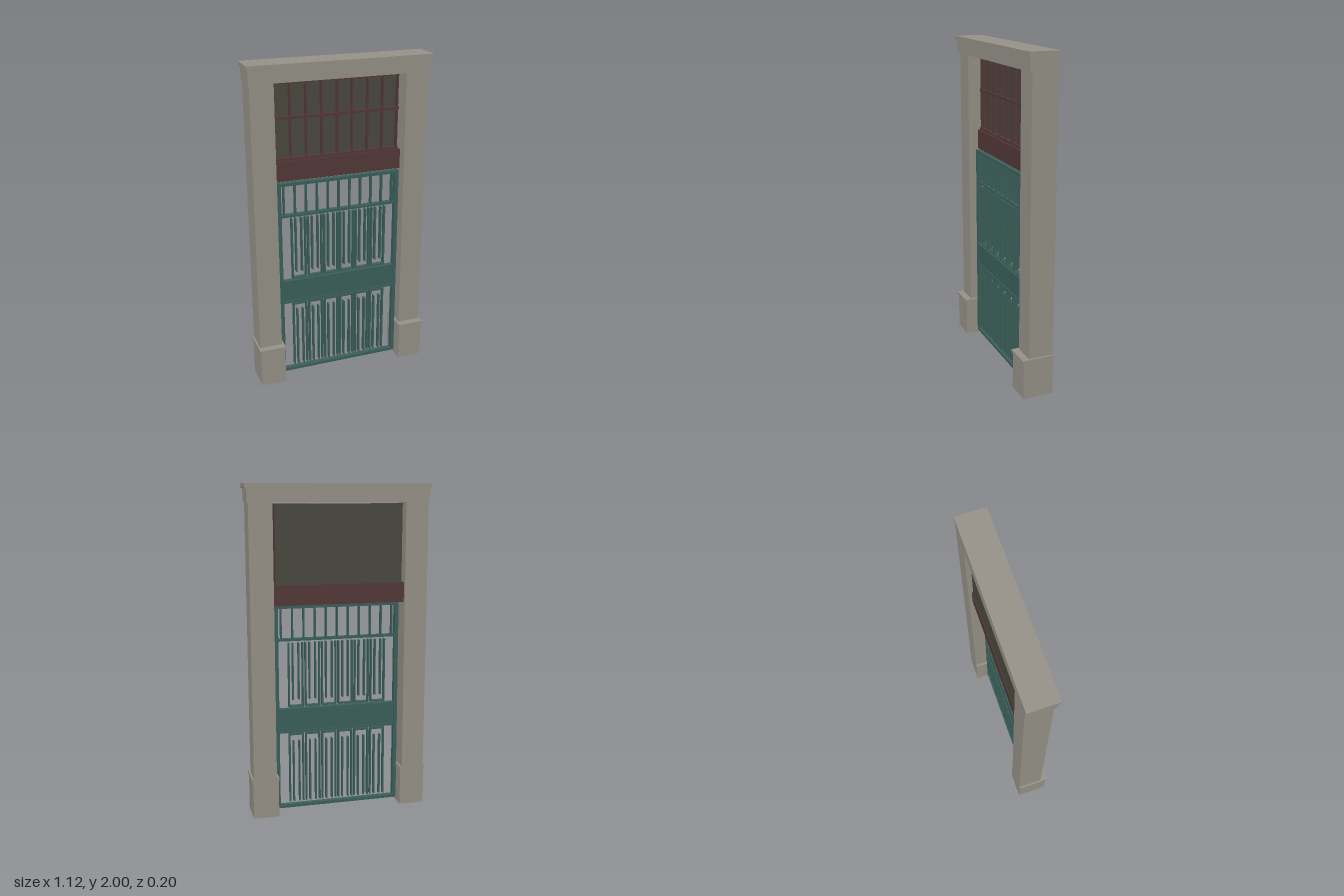
import * as THREE from 'three';

const mat = (name, color) => {
  const m = new THREE.MeshStandardMaterial({ color });
  m.name = name;
  return m;
};

export function createModel() {
  const stone = mat('stone', 0x99958b);
  const maroon = mat('maroon paint', 0x553939);
  const teal = mat('teal paint', 0x3c625c);
  const pane = mat('dark pane', 0x4b4b41);

  const model = new THREE.Group();
  model.name = 'gateway';
  const section = (name) => {
    const g = new THREE.Group();
    g.name = name;
    model.add(g);
    return g;
  };
  // Box given by its extents on each axis
  const box = (parent, name, material, [x0, x1], [y0, y1], [z0, z1]) => {
    const mesh = new THREE.Mesh(new THREE.BoxGeometry(x1 - x0, y1 - y0, z1 - z0), material);
    mesh.position.set((x0 + x1) / 2, (y0 + y1) / 2, (z0 + z1) / 2);
    mesh.name = name;
    parent.add(mesh);
  };
  const around = (c, half) => [c - half, c + half];

  // Stone surround
  const surround = section('surround');
  const back = -0.098;
  for (const s of [-1, 1]) {
    const span = (a, b) => (s > 0 ? [a, b] : [-b, -a]);
    box(surround, 'pillar', stone, span(0.4, 0.54), [0.24, 1.9], [back, 0.055]);
    box(surround, 'plinth', stone, span(0.389, 0.545), [0, 0.23], [back, 0.09]);
    box(surround, 'plinthCap', stone, span(0.386, 0.551), [0.23, 0.25], [back, 0.098]);
  }
  box(surround, 'lintel', stone, around(0, 0.547), [1.895, 1.975], [back, 0.07]);
  box(surround, 'cornice', stone, around(0, 0.558), [1.975, 2], [back, 0.082]);

  // Transom window over a heavy crossbeam
  const transom = section('transom');
  box(transom, 'crossbeam', maroon, around(0, 0.4), [1.298, 1.418], [-0.078, -0.006]);
  box(transom, 'windowPane', pane, around(0, 0.385), [1.418, 1.885], [-0.073, -0.045]);
  for (const y of [1.426, 1.672, 1.878]) {
    box(transom, 'glazingRail', maroon, around(0, 0.39), around(y, 0.008), [-0.06, -0.018]);
  }
  for (let i = -4; i <= 4; i++) {
    box(transom, 'glazingBar', maroon, around(i * 0.0955, 0.005), [1.42, 1.88], [-0.058, -0.022]);
  }

  // Gate frame
  const gate = section('gate');
  const depth = [-0.02, 0.012];
  const barDepth = [-0.018, 0.01];
  for (const s of [-1, 1]) {
    box(gate, 'stile', teal, around(s * 0.3765, 0.0115), [0.018, 1.291], depth);
  }
  const rails = [[0.018, 0.037], [0.503, 0.517], [0.642, 0.656], [1.076, 1.091], [1.273, 1.291]];
  for (const y of rails) box(gate, 'rail', teal, around(0, 0.366), y, depth);
  box(gate, 'lockPanel', teal, around(0, 0.366), [0.515, 0.644], [-0.014, 0.006]);

  // Short bars in the top band
  for (let i = -5; i <= 5; i++) {
    box(gate, 'topBar', teal, around(i * 0.0693, 0.004), [1.088, 1.275], barDepth);
  }

  // Six fork-shaped groups of pickets above and below the panel
  for (let i = 0; i < 6; i++) {
    const c = (i - 2.5) * 0.1035;
    for (const s of [-1, 1]) {
      const outer = around(c + s * 0.0425, 0.004);
      const inner = around(c + s * 0.018, 0.004);
      box(gate, 'upperOuterPicket', teal, outer, [0.665, 1.063], barDepth);
      box(gate, 'upperInnerPicket', teal, inner, [0.71, 1.063], barDepth);
      box(gate, 'lowerOuterPicket', teal, outer, [0.055, 0.498], barDepth);
      box(gate, 'lowerInnerPicket', teal, inner, [0.055, 0.448], barDepth);
    }
    box(gate, 'upperPicketTie', teal, around(c, 0.039), [0.665, 0.674], barDepth);
    box(gate, 'lowerPicketTie', teal, around(c, 0.039), [0.486, 0.498], barDepth);
  }
  return model;
}
